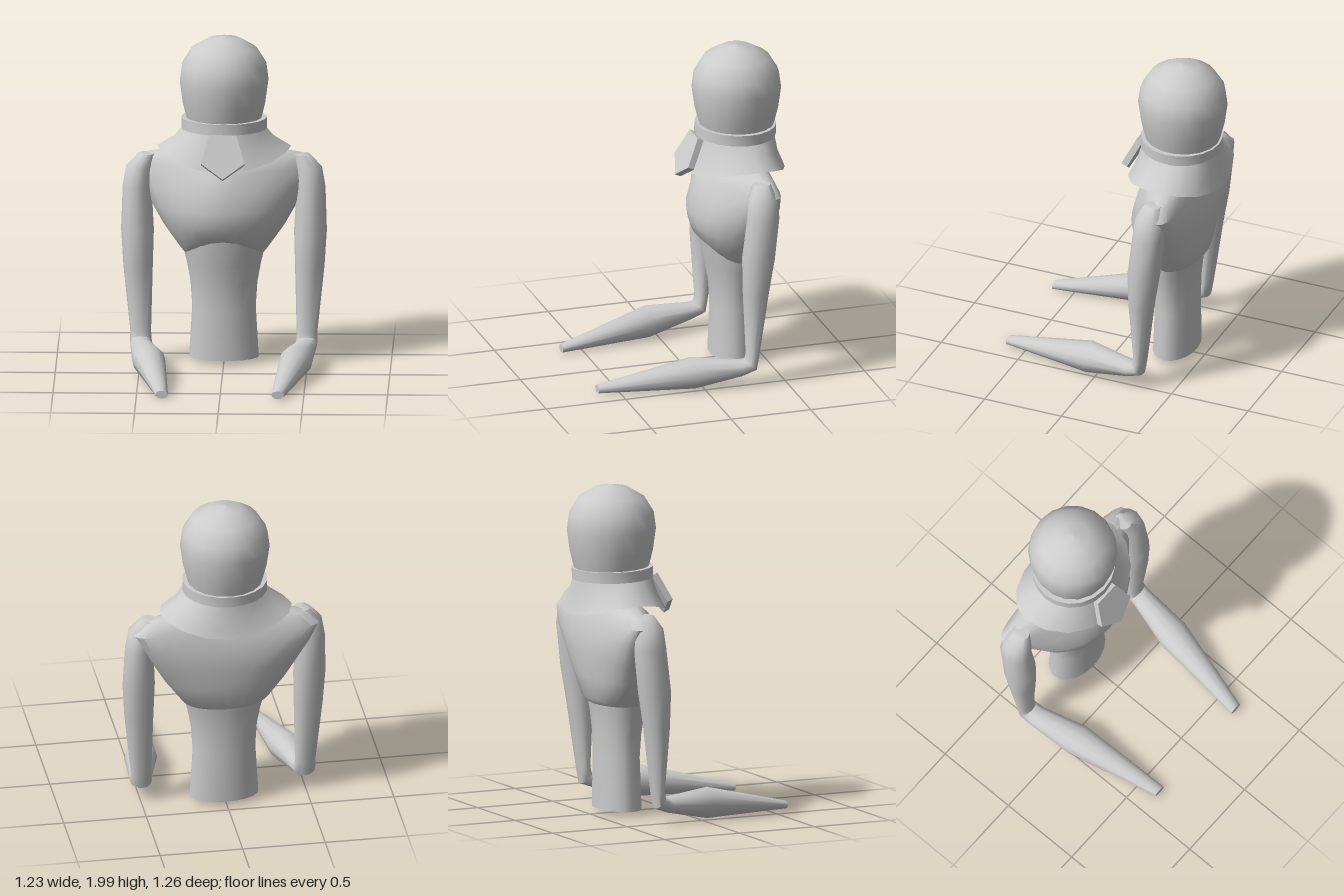
import * as THREE from 'three';
import { toCreasedNormals } from 'three/addons/utils/BufferGeometryUtils.js';

const material = new THREE.MeshStandardMaterial({ color: 0xcccccc });
const openMaterial = new THREE.MeshStandardMaterial({ color: 0xcccccc, side: THREE.DoubleSide });

// Skin a list of point rings; optional fan caps at both ends.
function loft(rings, capStart = false, capEnd = false, crease = 0.7) {
  const n = rings[0].length;
  const pos = rings.flat(2);
  const index = [];
  for (let i = 0; i < rings.length - 1; i++) {
    for (let j = 0; j < n; j++) {
      const a = i * n + j, b = i * n + (j + 1) % n;
      index.push(a, b, b + n, a, b + n, a + n);
    }
  }
  const cap = (i, flip) => {
    const centre = pos.length / 3;
    for (let k = 0; k < 3; k++) pos.push(rings[i].reduce((s, p) => s + p[k], 0) / n);
    for (let j = 0; j < n; j++) {
      const a = i * n + j, b = i * n + (j + 1) % n;
      index.push(...(flip ? [b, a, centre] : [a, b, centre]));
    }
  };
  if (capStart) cap(0, true);
  if (capEnd) cap(rings.length - 1, false);
  const g = new THREE.BufferGeometry();
  g.setAttribute('position', new THREE.Float32BufferAttribute(pos, 3));
  g.setIndex(index);
  return toCreasedNormals(g, crease);
}

// Body cross-section: separate front and back depth, squareness and front lift.
function section(n, [y, lift, rx, zf, zb, zc, pf = 1, pb = 1], liftBack = 0) {
  return Array.from({ length: n }, (_, j) => {
    const t = j / n * Math.PI * 2, s = Math.sin(t), c = Math.cos(t);
    const front = c > 0, p = front ? pf : pb;
    return [
      rx * Math.sign(s) * Math.abs(s) ** p,
      y + (front ? lift : liftBack) * c * c,
      zc + ((front ? zf : zb) - zc) * Math.abs(c) ** p,
    ];
  });
}

// Limb cross-section: one axis along x, the other turned from z up towards y.
function limbRing(n, side, [x, y, z, ra, rb, deg]) {
  const a = THREE.MathUtils.degToRad(deg);
  return Array.from({ length: n }, (_, j) => {
    const t = j / n * Math.PI * 2, c = Math.cos(t) * rb;
    return [side * x + Math.sin(t) * ra, y + c * Math.sin(a), z + c * Math.cos(a)];
  });
}

export function createModel() {
  const group = new THREE.Group();
  const add = (name, geometry, mat = material) => {
    const mesh = new THREE.Mesh(geometry, mat);
    mesh.name = name;
    group.add(mesh);
    return mesh;
  };

  // Head
  const headProfile = [[0.205, 1.42], [0.225, 1.5], [0.25, 1.6], [0.268, 1.73], [0.255, 1.83],
    [0.197, 1.925], [0.1, 1.983], [0, 2]].map(p => new THREE.Vector2(...p));
  add('head', new THREE.LatheGeometry(headProfile, 18), openMaterial).position.z = -0.357;

  // Neck band
  const bandProfile = [[0.22, -0.033], [0.256, -0.033], [0.256, 0.033], [0.22, 0.033], [0.22, -0.033]]
    .map(p => new THREE.Vector2(...p));
  const band = add('neckBand', toCreasedNormals(new THREE.LatheGeometry(bandProfile, 20), 0.6));
  band.position.set(0, 1.473, -0.35);
  band.rotation.x = -0.03;
  band.scale.z = 0.95;

  // Flared collar, dipping at front and back
  add('collar', loft([
    [1.32, -0.09, 0.4, -0.04, -0.63, -0.39],
    [1.385, -0.05, 0.3, -0.085, -0.595, -0.37],
    [1.45, 0, 0.243, -0.118, -0.58, -0.35],
  ].map(r => section(16, r, r[1]))), openMaterial);

  // Five-sided badge
  const outline = new THREE.Shape([[-0.08, 0.136], [-0.13, -0.04], [0, -0.136], [0.13, -0.04], [0.08, 0.136]]
    .map(p => new THREE.Vector2(...p)));
  const badgeGeometry = new THREE.ExtrudeGeometry(outline, { depth: 0.04, bevelEnabled: false });
  badgeGeometry.translate(0, 0, -0.04);
  const badge = add('badge', badgeGeometry);
  badge.position.set(0, 1.333, -0.03);
  badge.rotation.x = -0.45;

  // Chest with arched lower lip, widening to the shoulders
  add('chest', loft([
    [0.68, 0.1, 0.24, -0.14, -0.475, -0.34],
    [0.71, 0.11, 0.265, -0.095, -0.5, -0.35, 1, 0.9],
    [0.84, 0.06, 0.36, -0.07, -0.515, -0.37, 1, 0.9],
    [0.97, 0, 0.435, -0.06, -0.535, -0.39, 1.1, 0.85],
    [1.1, 0, 0.51, -0.09, -0.53, -0.41, 1.3, 0.75],
    [1.2, 0, 0.56, -0.13, -0.505, -0.42, 1.5, 0.7],
    [1.27, -0.03, 0.49, -0.17, -0.48, -0.4, 1.4, 0.8],
    [1.31, -0.05, 0.3, -0.22, -0.46, -0.37],
  ].map(r => section(24, r)), true, true));

  // Waist, open at the bottom
  add('waist', loft([
    [0.04, 0, 0.208, -0.19, -0.45, -0.325],
    [0.35, 0, 0.19, -0.2, -0.45, -0.325],
    [0.5, 0, 0.2, -0.19, -0.453, -0.325],
    [0.62, 0, 0.222, -0.165, -0.462, -0.33],
    [0.7, 0.09, 0.242, -0.135, -0.475, -0.34],
  ].map(r => section(20, r))), openMaterial);

  // Arms, from the tapered forearm tip up to the shoulder
  const arm = [
    [0.347, 0.035, 0.63, 0.038, 0.024, 90],
    [0.44, 0.105, 0.06, 0.1, 0.095, 90],
    [0.488, 0.122, -0.22, 0.068, 0.05, 85],
    [0.495, 0.14, -0.285, 0.065, 0.048, 45],
    [0.497, 0.2, -0.297, 0.062, 0.038, 5],
    [0.513, 0.6, -0.312, 0.088, 0.078, 0],
    [0.517, 0.82, -0.328, 0.098, 0.1, 0],
    [0.52, 1.08, -0.358, 0.086, 0.1, 0],
    [0.505, 1.2, -0.36, 0.08, 0.09, 0],
    [0.465, 1.275, -0.365, 0.05, 0.055, 0],
  ];
  for (const [name, side] of [['leftArm', 1], ['rightArm', -1]]) {
    add(name, loft(arm.map(r => limbRing(12, side, r)), true, true, 0.9));
  }

  return group;
}
